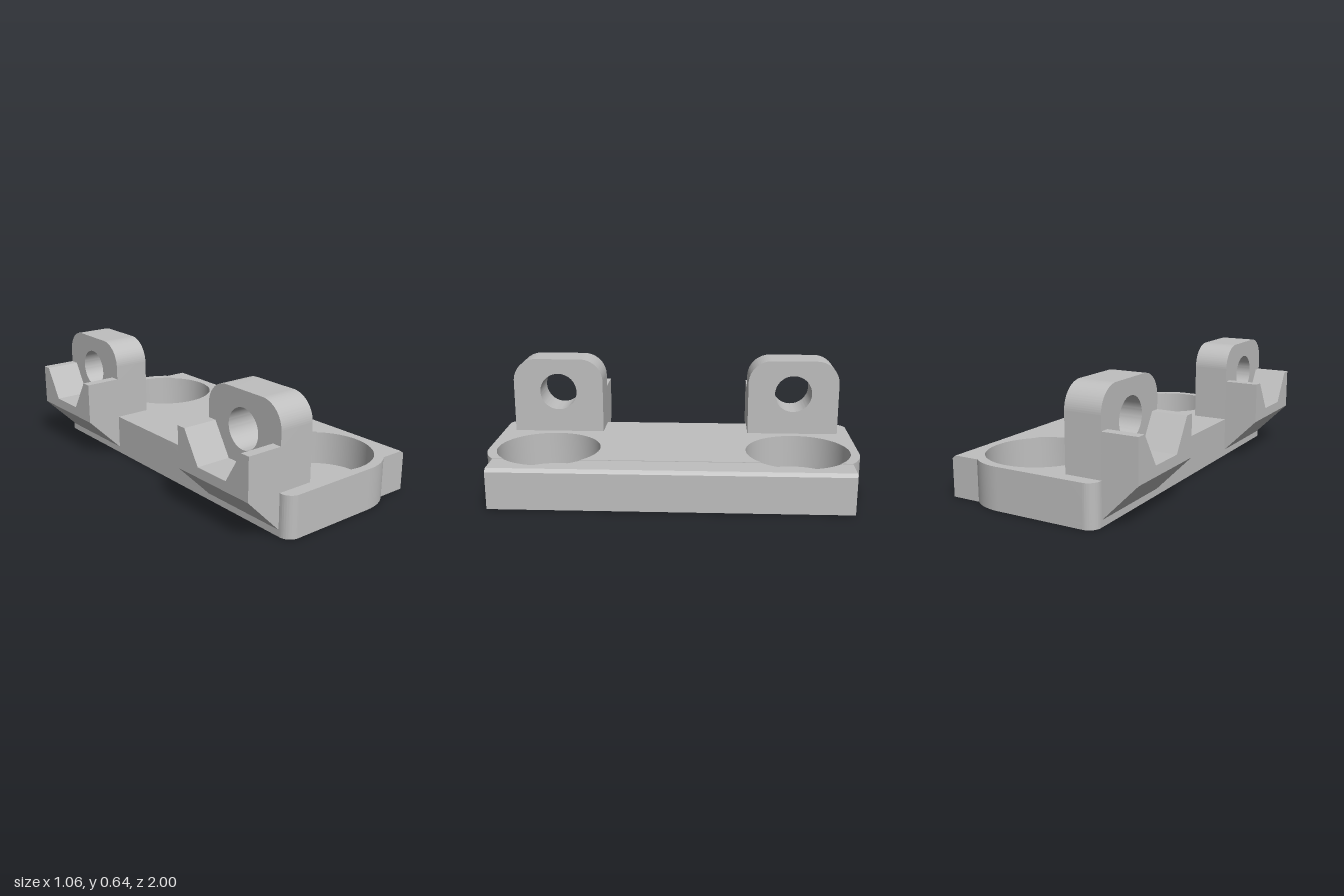
import * as THREE from 'three';
import { toCreasedNormals } from 'three/addons/utils/BufferGeometryUtils.js';

const LEFT = -0.34, SEAM = 0.372, CHAMFER = 0.51, RIGHT = 0.53;
const POCKET = { x: 0.18, z: 0.675, r: 0.28 };
const FLOOR = 0.035, TOP = 0.22, STRIP_TOP = 0.217;

// Angle and half height where a pocket crosses the seam
const A = Math.acos((SEAM - POCKET.x) / POCKET.r);
const H = POCKET.r * Math.sin(A);

const extrude = (shape, depth) =>
  new THREE.ExtrudeGeometry(shape, { depth, bevelEnabled: false, curveSegments: 40 });

// Main plate outline; optionally with both pockets bitten out
function mainOutline(pockets) {
  const s = new THREE.Shape(), r = 0.06;
  s.moveTo(LEFT + r, -1);
  s.lineTo(0.2, -1);
  s.quadraticCurveTo(0.3, -1, SEAM, -0.94);
  if (pockets) for (const z of [-POCKET.z, POCKET.z]) {
    s.lineTo(SEAM, z - H);
    s.absarc(POCKET.x, z, POCKET.r, -A, A, true);
  }
  s.lineTo(SEAM, 0.94);
  s.quadraticCurveTo(0.3, 1, 0.2, 1);
  s.lineTo(LEFT + r, 1);
  s.absarc(LEFT + r, 1 - r, r, Math.PI / 2, Math.PI, false);
  s.lineTo(LEFT, -1 + r);
  s.absarc(LEFT + r, -1 + r, r, Math.PI, Math.PI * 1.5, false);
  return s;
}

// Slightly lower strip along the outer long side
function stripOutline(pockets) {
  const s = new THREE.Shape();
  s.moveTo(SEAM, -0.94);
  s.lineTo(CHAMFER, -0.94);
  s.lineTo(CHAMFER, 0.94);
  s.lineTo(SEAM, 0.94);
  if (pockets) for (const z of [POCKET.z, -POCKET.z]) {
    s.lineTo(SEAM, z + H);
    s.absarc(POCKET.x, z, POCKET.r, A, -A, true);
  }
  s.closePath();
  return s;
}

// Lug with rounded top corners and a through hole (profile in z, y)
function lugGeometry() {
  const s = new THREE.Shape(), w = 0.257, r = 0.13, top = 0.645;
  s.moveTo(-w, 0.1);
  s.lineTo(w, 0.1);
  s.lineTo(w, top - r);
  s.absarc(w - r, top - r, r, 0, Math.PI / 2, false);
  s.lineTo(-w + r, top);
  s.absarc(-w + r, top - r, r, Math.PI / 2, Math.PI, false);
  s.closePath();
  s.holes.push(new THREE.Path().absarc(0, 0.455, 0.105, 0, Math.PI * 2, true));
  return extrude(s, 0.195).rotateY(-Math.PI / 2).translate(-0.145, 0, 0);
}

// Block behind the lug, with a half-hexagon notch and a sloping underside
function nutBlockGeometry() {
  const pts = [[-0.257, FLOOR], [0.257, FLOOR], [0.257, 0.445], [0.205, 0.445], [0.1025, 0.278],
    [-0.1025, 0.278], [-0.205, 0.445], [-0.257, 0.445]];
  const s = new THREE.Shape(pts.map(([z, y]) => new THREE.Vector2(z, y)));
  const g = extrude(s, 0.19).rotateY(-Math.PI / 2).translate(LEFT, 0, 0);
  const p = g.attributes.position;
  for (let i = 0; i < p.count; i++)
    if (p.getY(i) < 0.04 && p.getX(i) < -0.5) p.setY(i, 0.225);
  return g;
}

export function createModel() {
  const model = new THREE.Group();
  model.name = 'mountingBracket';
  const grey = new THREE.MeshStandardMaterial({ color: 0xbfbfbf });
  grey.name = 'grey';

  const add = (name, geometry, parent = model) => {
    const mesh = new THREE.Mesh(toCreasedNormals(geometry, 0.5), grey);
    mesh.name = name;
    parent.add(mesh);
    return mesh;
  };
  const slab = (shape, y0, y1) =>
    extrude(shape, y1 - y0).rotateX(-Math.PI / 2).translate(0, y0, 0);

  // Plate: solid floor below, pocketed layer above
  add('plateFloor', slab(mainOutline(false), 0, FLOOR));
  add('plateTop', slab(mainOutline(true), FLOOR, TOP));
  add('stripFloor', slab(stripOutline(false), 0, FLOOR));
  add('stripTop', slab(stripOutline(true), FLOOR, STRIP_TOP));

  // Chamfered outer edge
  const edge = new THREE.Shape([[CHAMFER, 0], [RIGHT, 0], [RIGHT, 0.2], [CHAMFER, STRIP_TOP]]
    .map(([x, y]) => new THREE.Vector2(x, y)));
  add('chamferedEdge', extrude(edge, 1.88).translate(0, 0, -0.94));

  // Two identical brackets
  for (const [name, z] of [['frontBracket', POCKET.z], ['backBracket', -POCKET.z]]) {
    const bracket = new THREE.Group();
    bracket.name = name;
    bracket.position.z = z;
    add('lug', lugGeometry(), bracket);
    add('nutBlock', nutBlockGeometry(), bracket);
    model.add(bracket);
  }
  return model;
}
